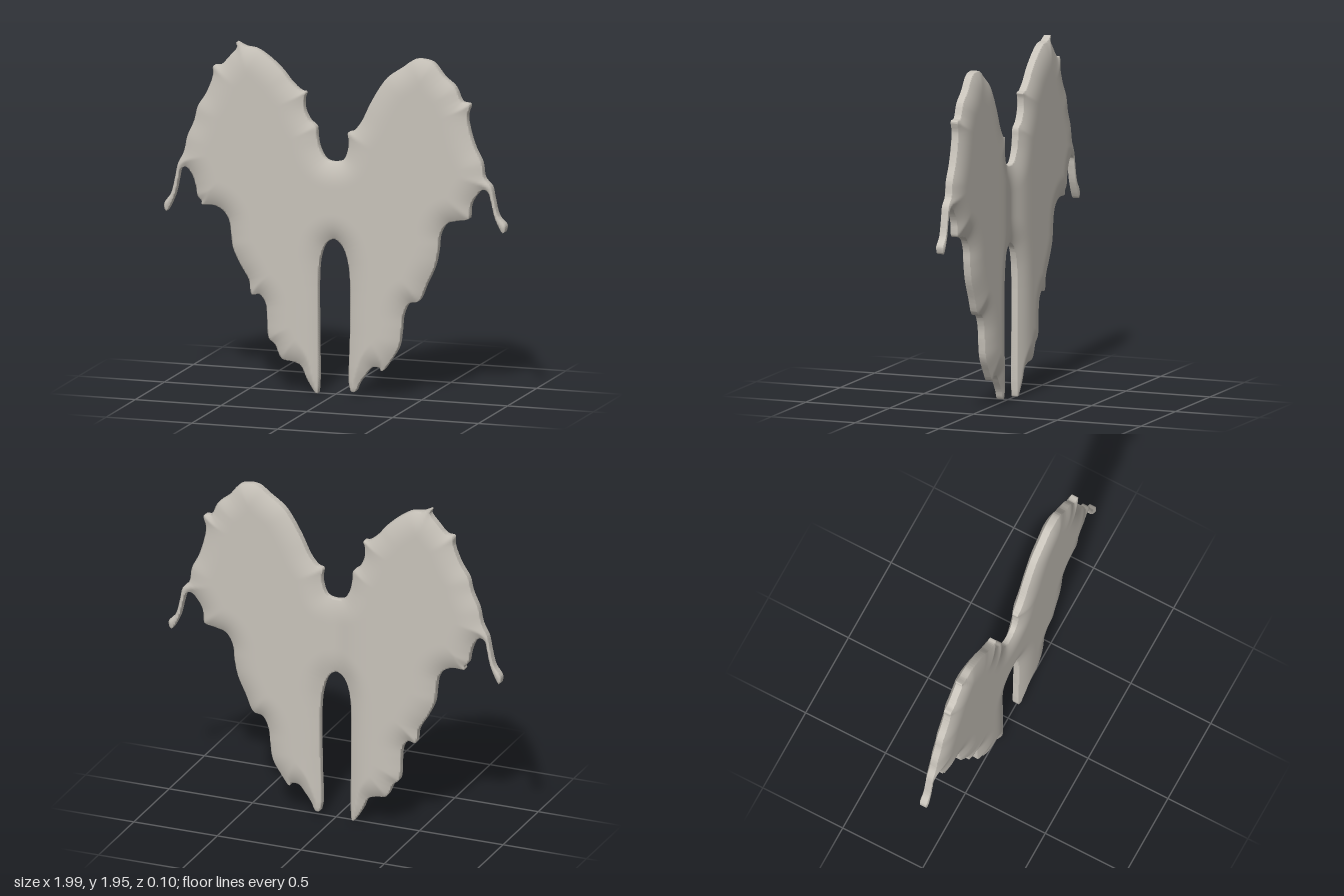
import * as THREE from 'three';
import { mergeVertices } from 'three/addons/utils/BufferGeometryUtils.js';

// Ragged outline of each wing in hundredths (x, y), from neck notch round to the leg slit
const RIGHT_WING = [
  0, 132, -5, 133, -9, 139, -10.5, 146, -11, 151, -15, 154.5, -18, 161, -18, 167, -17, 170, -20, 170.5,
  -26, 175.5, -30.5, 181, -38.5, 188, -46, 192.5, -52.5, 193.5, -57.8, 195.8, -57, 193, -61, 188, -67, 182,
  -71, 181.5, -71, 176.5, -75, 166, -80, 158, -82, 150, -86, 141, -88, 132, -91.5, 125, -93, 118,
  -95.5, 108, -99.5, 102, -98.5, 97.5, -93.5, 107, -91.2, 117, -90, 122, -87, 123.5, -83.5, 120, -81, 113,
  -80, 107.5, -77.5, 104.5, -78, 103, -71, 103, -66, 101, -62, 96, -60.5, 88, -59.5, 80, -55, 70.5,
  -50, 62, -48.5, 54, -44, 54.5, -40.5, 50, -39.5, 42, -38.5, 30, -35, 27, -31, 19, -25.5, 18, -20, 16,
  -16, 8, -10.5, 0.5, -9.6, 4, -9.6, 36, -9.6, 68, -8.5, 78, -5.5, 85.5, -0.5, 88.5,
];
const LEFT_WING = [
  5, 133.5, 7.5, 139, 8, 144.5, 7.5, 149, 10.5, 150, 15, 155, 20.5, 166, 26, 175.5, 31, 182, 39.5, 188,
  46, 192.5, 51, 193, 57, 191.5, 63.5, 184, 70, 178.5, 74, 170.5, 78.5, 169.5, 77, 163, 78.5, 154,
  81.5, 145, 85.5, 137, 87, 128.5, 91, 124, 92.5, 117.5, 95.2, 107.5, 99.5, 102.5, 98, 98, 93.3, 106,
  91, 115, 89, 121, 86, 122, 82.5, 119, 79, 113, 78.5, 107.5, 78, 105, 71.5, 103.5, 65, 101.5, 61, 95,
  60, 86.5, 58, 77, 53, 66, 48.5, 56.5, 43, 55, 39.5, 48, 38.5, 39, 37, 30, 32.5, 22.5, 27, 15.5,
  26, 17.5, 21.5, 17.5, 17.5, 13, 14, 8, 11.5, 3, 9, 3.5, 8.7, 35, 8.7, 66, 7.5, 76, 4.5, 84.5,
];

const toPoints = (a) =>
  Array.from({ length: a.length / 2 }, (_, i) => new THREE.Vector3(a[2 * i] / 100, a[2 * i + 1] / 100, 0));

// Closed smooth outline; the left half is reversed so the loop runs one way
function makeOutline() {
  const pts = [...toPoints(RIGHT_WING), ...toPoints(LEFT_WING).reverse()];
  return new THREE.CatmullRomCurve3(pts, true, 'centripetal').getPoints(pts.length * 4).slice(0, -1);
}

// Distance to the outline, positive inside
function signedDistance(outline, x, y) {
  let best = Infinity, inside = false;
  for (let i = 0, j = outline.length - 1; i < outline.length; j = i++) {
    const a = outline[j], b = outline[i];
    const ex = b.x - a.x, ey = b.y - a.y, px = x - a.x, py = y - a.y;
    const t = Math.min(1, Math.max(0, (px * ex + py * ey) / (ex * ex + ey * ey || 1)));
    best = Math.min(best, (px - t * ex) ** 2 + (py - t * ey) ** 2);
    if ((a.y > y) !== (b.y > y) && x < a.x + ((y - a.y) / ey) * ex) inside = !inside;
  }
  const d = Math.max(Math.sqrt(best), 1e-5);
  return inside ? d : -d;
}

// Pillow-like thickness, thin at the rim; the back has a valley along the middle
function halfThickness(d) {
  const t = Math.min(1, Math.max(0, d) / 0.15);
  return 0.018 + 0.031 * (1 - (1 - t) ** 2.5);
}
const frontZ = (p) => halfThickness(p.d);
const backZ = (p) => -(halfThickness(p.d) + 0.002) * (1 - 0.5 * Math.exp(-((p.x / 0.1) ** 2)));

function wingGeometry() {
  const outline = makeOutline();
  const step = 0.01, cols = 203, rows = 200, x0 = -1.013, y0 = -0.017;
  const grid = [];
  for (let j = 0; j <= rows; j++) {
    for (let i = 0; i <= cols; i++) {
      const x = x0 + i * step, y = y0 + j * step;
      grid.push({ x, y, d: signedDistance(outline, x, y) });
    }
  }
  const positions = [];
  const front = (p) => [p.x, p.y, frontZ(p)];
  const back = (p) => [p.x, p.y, backZ(p)];
  const tri = (a, b, c) => positions.push(...a, ...b, ...c);

  // Keep the part of a triangle inside the outline, as front, back and rim
  function addClipped(corners) {
    const poly = [];
    corners.forEach((p, k) => {
      const q = corners[(k + 1) % 3];
      if (p.d > 0) poly.push(p);
      if (p.d > 0 !== q.d > 0) {
        const [a, b] = p.d > 0 ? [p, q] : [q, p];
        const t = a.d / (a.d - b.d);
        poly.push({ x: a.x + (b.x - a.x) * t, y: a.y + (b.y - a.y) * t, d: 0, rim: true });
      }
    });
    for (let k = 1; k < poly.length - 1; k++) {
      tri(front(poly[0]), front(poly[k]), front(poly[k + 1]));
      tri(back(poly[0]), back(poly[k + 1]), back(poly[k]));
    }
    poly.forEach((a, k) => {
      const b = poly[(k + 1) % poly.length];
      if (!a.rim || !b.rim) return;
      tri(back(a), back(b), front(b));
      tri(back(a), front(b), front(a));
    });
  }

  for (let j = 0; j < rows; j++) {
    for (let i = 0; i < cols; i++) {
      const k = j * (cols + 1) + i;
      const a = grid[k], b = grid[k + 1], c = grid[k + cols + 2], d = grid[k + cols + 1];
      addClipped([a, b, c]);
      addClipped([a, c, d]);
    }
  }
  const raw = new THREE.BufferGeometry();
  raw.setAttribute('position', new THREE.Float32BufferAttribute(positions, 3));
  const geometry = mergeVertices(raw, 1e-5);
  geometry.computeVertexNormals();
  return geometry;
}

export function createModel() {
  const model = new THREE.Group();
  model.name = 'tatteredWings';
  const stone = new THREE.MeshStandardMaterial({ color: 0xc8c3ba });
  stone.name = 'warm grey';
  const wings = new THREE.Mesh(wingGeometry(), stone);
  wings.name = 'wingPair';
  model.add(wings);
  return model;
}
